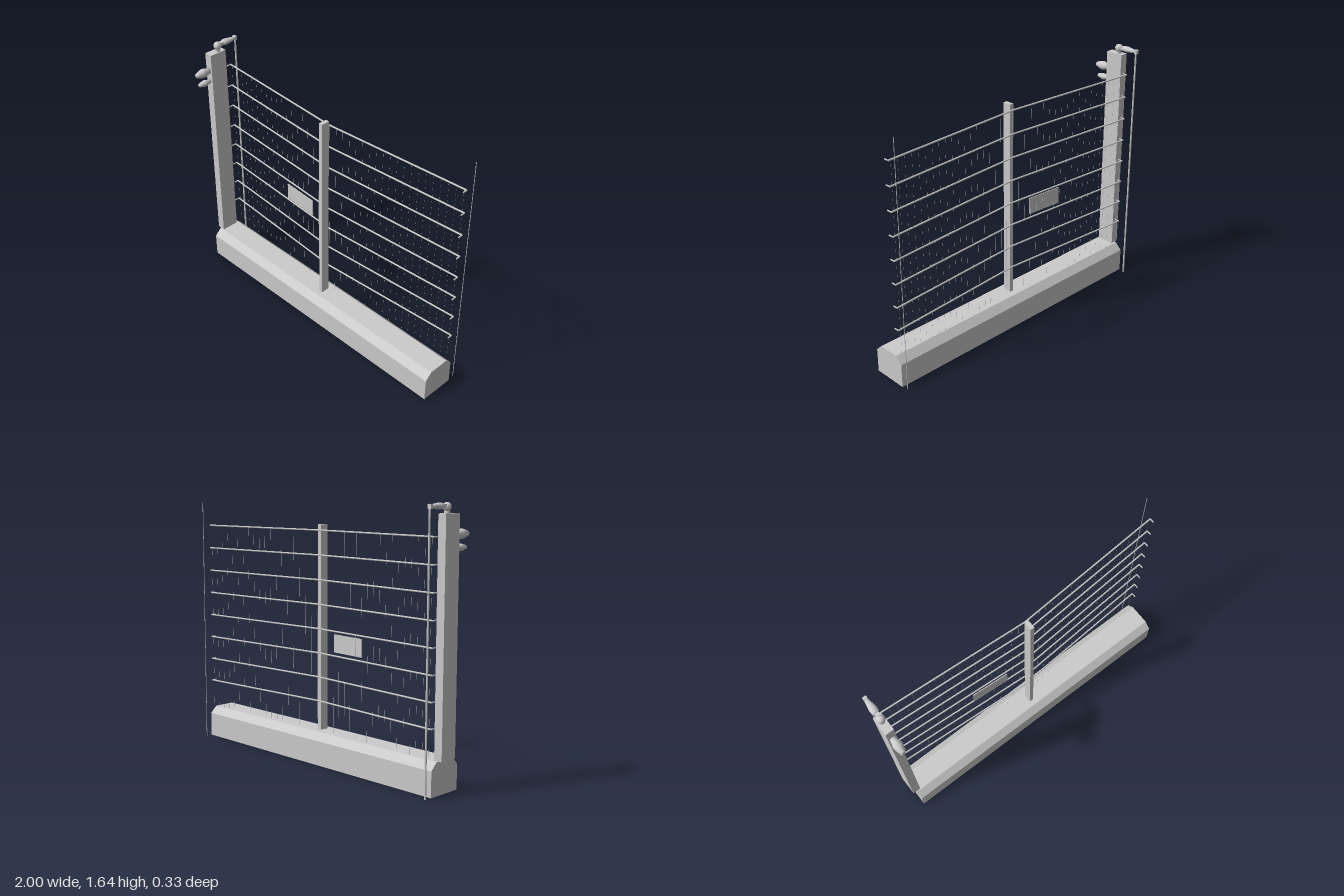
import * as THREE from 'three';

const grey = new THREE.MeshStandardMaterial({ color: 0xcccccc, side: THREE.DoubleSide });
const flat = new THREE.MeshStandardMaterial({ color: 0xcccccc, flatShading: true });

function add(parent, name, geometry, x = 0, y = 0, z = 0, material = flat) {
  const mesh = new THREE.Mesh(geometry, material);
  mesh.name = name;
  mesh.position.set(x, y, z);
  parent.add(mesh);
  return mesh;
}

// Round bar between two points
function bar(parent, name, a, b, radius, sides = 6) {
  const from = new THREE.Vector3(...a);
  const dir = new THREE.Vector3(...b).sub(from);
  const mesh = add(parent, name, new THREE.CylinderGeometry(radius, radius, dir.length(), sides), 0, 0, 0, grey);
  mesh.position.copy(from).addScaledVector(dir, 0.5);
  mesh.quaternion.setFromUnitVectors(new THREE.Vector3(0, 1, 0), dir.normalize());
  return mesh;
}

// Turned shape along z, given as [radius, z] pairs with z increasing
function turned(points) {
  return new THREE.LatheGeometry(points.map(p => new THREE.Vector2(...p)), 16).rotateX(Math.PI / 2);
}

// Depth of the fence at x: bowed forward to the middle post
const fenceZ = x => -0.035 - 0.066 * Math.abs(x - 0.012);

export function createModel() {
  const group = new THREE.Group();

  // Concrete footing with chamfered top edges
  const s = new THREE.Shape();
  [[-0.115, 0], [0.115, 0], [0.115, 0.155], [0.07, 0.2], [-0.07, 0.2], [-0.115, 0.155]]
    .forEach(([x, y], i) => (i ? s.lineTo(x, y) : s.moveTo(x, y)));
  const footing = new THREE.ExtrudeGeometry(s, { depth: 1.975, bevelEnabled: false });
  footing.rotateY(Math.PI / 2);
  add(group, 'footing', footing, -0.975, 0, 0);

  // Posts
  add(group, 'endPost', new THREE.BoxGeometry(0.054, 1.38, 0.12), -0.972, 0.89, 0.004);
  add(group, 'middlePost', new THREE.BoxGeometry(0.026, 1.29, 0.057), 0.012, 0.845, 0.005);

  // Strained fence wires with hooked ends
  const wires = new THREE.Group();
  wires.name = 'fenceWires';
  group.add(wires);
  for (let i = 0; i < 8; i++) {
    const y = 0.388 + i * 0.1525;
    for (const end of [-0.955, 0.995]) {
      const z = fenceZ(end);
      bar(wires, 'wire', [0.012, y, fenceZ(0.012)], [end, y, z], 0.0055);
      bar(wires, 'wireHook', [end, y, z], [end, y, z + 0.03], 0.0045);
    }
  }

  // Hair-thin mesh between the wires
  const mesh = new THREE.Group();
  mesh.name = 'fineMesh';
  group.add(mesh);
  for (let i = 0; i <= 38; i++) {
    const x = -0.94 + i * 0.0505;
    bar(mesh, 'meshStrand', [x, 0.21, fenceZ(x)], [x, 1.455, fenceZ(x)], 0.0004, 3);
  }

  // Sign plate lying along the fence
  const sign = add(group, 'signPlate', new THREE.BoxGeometry(0.25, 0.112, 0.005), -0.255, 0.77, -0.045);
  sign.rotation.y = -Math.atan(0.066);

  // Two lamps on the front of the end post
  const lamp = [[0, 0], [0.018, 0], [0.022, 0.025], [0.029, 0.045], [0.029, 0.06], [0.015, 0.105], [0, 0.105]];
  add(group, 'upperLamp', turned(lamp), -0.972, 1.465, 0.062, grey);
  add(group, 'lowerLamp', turned(lamp), -0.972, 1.39, 0.062, grey).scale.set(0.76, 0.72, 0.86);

  // Swivel bracket on top of the post, with its arm reaching back
  const bracket = new THREE.Group();
  bracket.name = 'topBracket';
  bracket.position.set(-0.97, 0, 0);
  group.add(bracket);
  add(bracket, 'bracketStem', new THREE.CylinderGeometry(0.014, 0.019, 0.045, 12), 0, 1.595, -0.012, grey);
  add(bracket, 'bracketElbow', new THREE.SphereGeometry(0.026, 14, 10), 0, 1.615, -0.014, grey);
  add(bracket, 'bracketNeck', new THREE.BoxGeometry(0.026, 0.02, 0.06), 0, 1.62, -0.04);
  const arm = turned([[0, -0.165], [0.01, -0.165], [0.016, -0.13], [0.024, -0.085], [0.022, -0.06], [0.012, -0.05], [0, -0.05]]);
  add(bracket, 'bracketArm', arm, 0, 1.62, 0, grey).scale.y = 0.8;
  add(bracket, 'armEnd', new THREE.BoxGeometry(0.024, 0.026, 0.02), 0, 1.62, -0.156);

  // Slim rods standing behind both ends
  bar(group, 'rearRod', [-0.967, 0, -0.156], [-0.967, 1.62, -0.156], 0.006, 8);
  bar(group, 'thinRod', [0.996, 0, -0.158], [0.996, 1.61, -0.158], 0.002, 6);

  return group;
}
